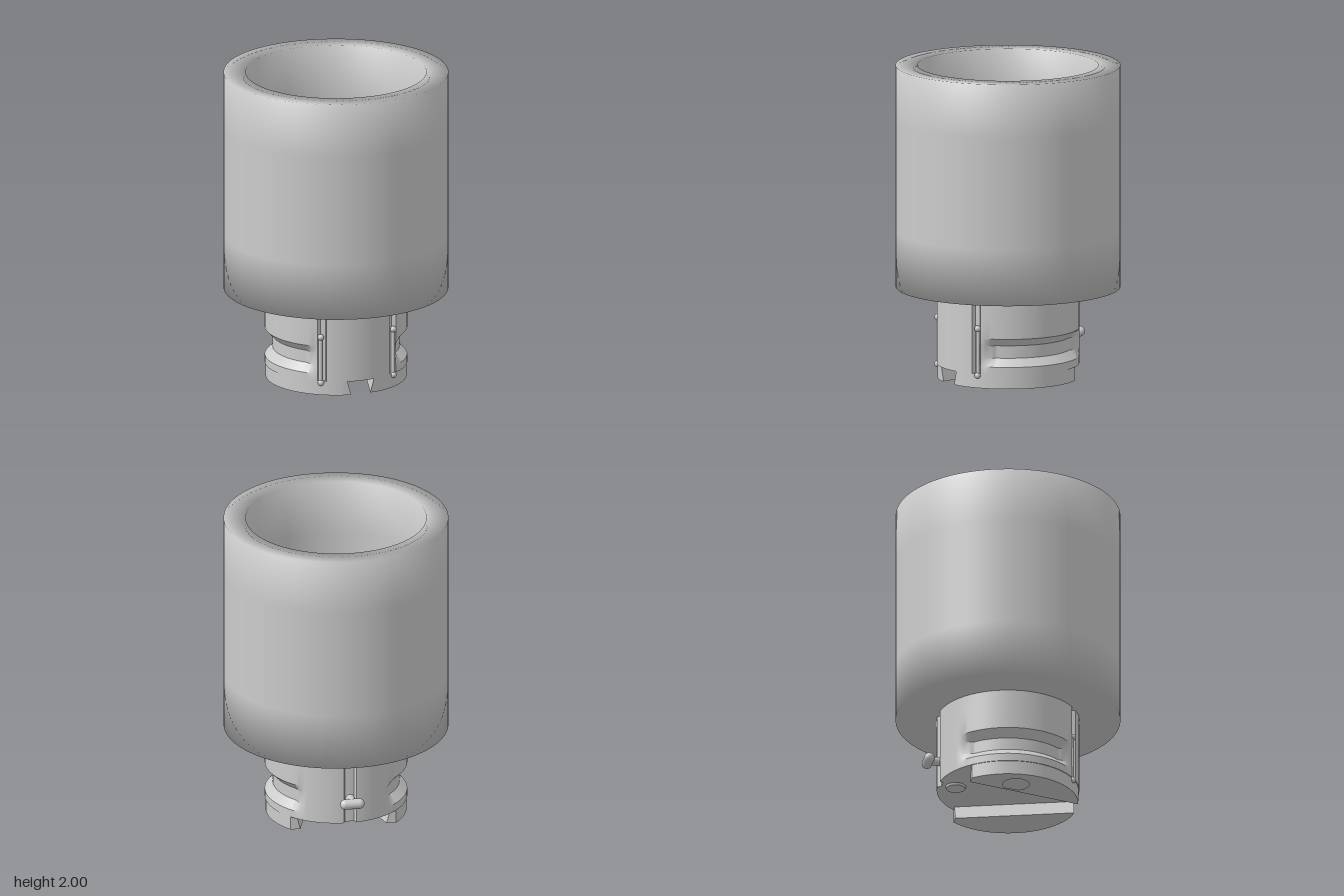
import * as THREE from 'three';
import { toCreasedNormals } from 'three/addons/utils/BufferGeometryUtils.js';

const R = 0.45; // radius of the base

export function createModel() {
  const group = new THREE.Group();
  const material = new THREE.MeshStandardMaterial({ color: 0xcccccc });
  const add = (name, geometry, x = 0, y = 0, z = 0) => {
    const mesh = new THREE.Mesh(geometry, material);
    mesh.name = name;
    mesh.position.set(x, y, z);
    group.add(mesh);
    return mesh;
  };

  // Hollow cup with softly shaded rims
  const cupProfile = [
    [0, 0.58], [0.71, 0.58], [0.71, 0.94], [0.71, 1.65], [0.71, 2],
    [0.57, 2], [0.57, 1.65], [0.57, 1.05], [0.57, 0.72], [0, 0.72],
  ].map(([x, y]) => new THREE.Vector2(x, y));
  add('cup', new THREE.LatheGeometry(cupProfile, 96));

  add('base', baseGeometry());

  for (const side of [1, -1]) {
    // Foot plates with a flaring dovetail channel between them
    add('footPlate', footGeometry(side));
    const dome = add('screwHead', new THREE.SphereGeometry(0.06, 24, 12), side * 0.29, 0.09, 0);
    dome.scale.y = 0.7;

    // Thin rods with ball ends on the front
    const x = side * 0.245, z = 0.368;
    add('frontRod', new THREE.CylinderGeometry(0.013, 0.013, 0.32, 12), x, 0.23, z);
    for (const y of [0.08, 0.38]) {
      add('rodBall', new THREE.SphereGeometry(0.02, 16, 12), x, y, z + 0.004);
    }
  }

  // Cross-headed catch on the back
  const stem = add('catchStem', new THREE.CylinderGeometry(0.028, 0.028, 0.12, 20), -0.02, 0.247, -0.45);
  stem.rotation.x = Math.PI / 2;
  const head = add('catchHead', new THREE.CapsuleGeometry(0.033, 0.09, 8, 20), -0.02, 0.247, -0.515);
  head.rotation.z = Math.PI / 2;

  // Contact stud under the back ledge
  add('stud', new THREE.CylinderGeometry(0.07, 0.06, 0.03, 32), 0, 0.09, -0.335);

  return group;
}

// Cylinder with tapered side grooves and narrow vertical slots
function baseGeometry() {
  const rows = [0.09, 0.14, 0.19, 0.27, 0.32, 0.45, 0.58];
  const depth = [0, 0, 0.05, 0.05, 0, 0, 0];
  const n = rows.length - 1;
  const geometry = new THREE.CylinderGeometry(1, 1, n, 240, n);
  const p = geometry.attributes.position;
  for (let i = 0; i < p.count; i++) {
    const row = Math.round(p.getY(i) + n / 2);
    const x = p.getX(i), z = p.getZ(i);
    const sideways = THREE.MathUtils.clamp((0.37 - Math.abs(z * R)) / 0.07, 0, 1);
    let r = R - depth[row] * sideways;
    if (z > 0 && Math.abs(Math.abs(x * R) - 0.24) < 0.02) r -= 0.025;
    if (z < 0 && Math.abs(x * R + 0.02) < 0.035) r -= 0.025;
    p.setXYZ(i, x * r, rows[row], z * r);
  }
  return toCreasedNormals(geometry, 0.5);
}

// One half of the foot: outer arc, straight back edge, slanted channel edge
function footGeometry(side) {
  const r = 0.445, inner = 0.09, back = -0.29;
  const a0 = Math.asin(back / r), a1 = Math.acos(inner / r);
  const shape = new THREE.Shape();
  shape.moveTo(side * 0.3, back);
  for (let i = 0; i <= 40; i++) {
    const a = a0 + (a1 - a0) * i / 40;
    shape.lineTo(side * r * Math.cos(a), r * Math.sin(a));
  }
  shape.closePath();
  const hole = new THREE.Path();
  hole.absarc(side * 0.29, 0, 0.085, 0, Math.PI * 2, true);
  shape.holes.push(hole);

  const geometry = new THREE.ExtrudeGeometry(shape, { depth: 0.09, bevelEnabled: false, curveSegments: 24 });
  geometry.rotateX(Math.PI / 2).translate(0, 0.09, 0);

  // Undercut: the channel is narrower at its mouth
  const p = geometry.attributes.position;
  const frontZ = r * Math.sin(a1);
  for (let i = 0; i < p.count; i++) {
    const x = Math.abs(p.getX(i)), z = p.getZ(i);
    const edge = 0.3 + (inner - 0.3) * (z - back) / (frontZ - back);
    if (p.getY(i) < 0.01 && Math.abs(x - edge) < 0.002) p.setX(i, side * (x - 0.025));
  }
  return toCreasedNormals(geometry, 0.5);
}
